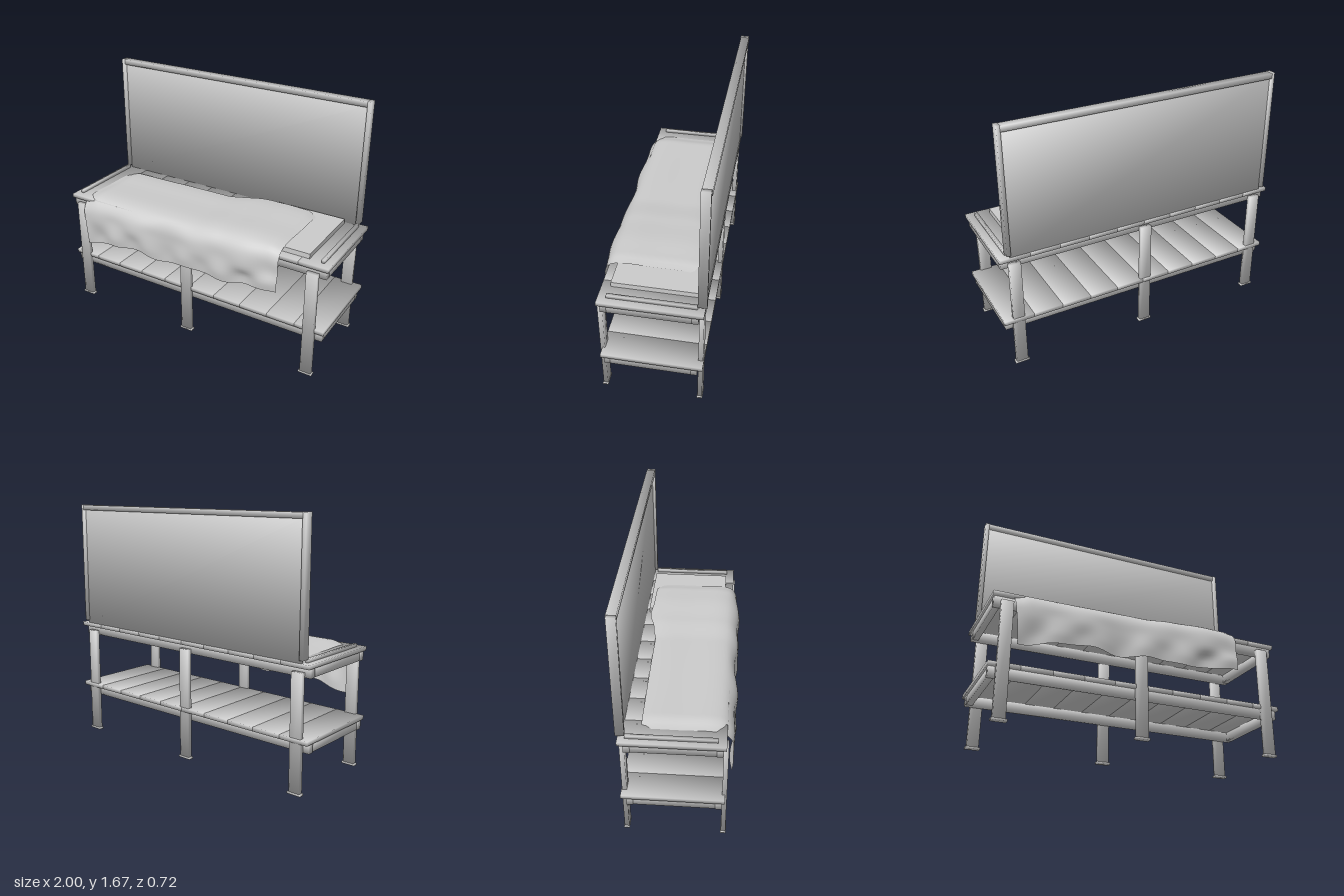
import * as THREE from 'three';
import { mergeVertices } from 'three/addons/utils/BufferGeometryUtils.js';

const grey = new THREE.MeshStandardMaterial({ color: 0xcccccc });
const clothGrey = new THREE.MeshStandardMaterial({ color: 0xcccccc, side: THREE.DoubleSide });

// Box given by its limits; soft boxes share one averaged normal per corner
function box(parent, name, [x0, x1], [y0, y1], [z0, z1], soft = true) {
  let geo = new THREE.BoxGeometry(x1 - x0, y1 - y0, z1 - z0);
  if (soft) {
    geo.deleteAttribute('uv');
    geo.deleteAttribute('normal');
    geo = mergeVertices(geo);
    const p = geo.attributes.position;
    const n = [];
    for (let i = 0; i < p.count; i++) {
      const v = new THREE.Vector3(Math.sign(p.getX(i)), Math.sign(p.getY(i)), Math.sign(p.getZ(i))).normalize();
      n.push(v.x, v.y, v.z);
    }
    geo.setAttribute('normal', new THREE.Float32BufferAttribute(n, 3));
  }
  const mesh = new THREE.Mesh(geo, grey);
  mesh.name = name;
  mesh.position.set((x0 + x1) / 2, (y0 + y1) / 2, (z0 + z1) / 2);
  parent.add(mesh);
  return mesh;
}

// Rail frame topped with crosswise slats
function shelf(name, y) {
  const g = new THREE.Group();
  g.name = name;
  const railY = [y, y + 0.06];
  box(g, 'frontRail', [-0.99, 0.985], railY, [0.235, 0.275]);
  box(g, 'backRail', [-0.99, 0.985], railY, [-0.32, -0.28]);
  for (const s of [-1, 1]) {
    box(g, 'endRail', [s * 0.965 - 0.02, s * 0.965 + 0.02], railY, [-0.28, 0.235]);
  }
  for (let i = 0; i < 10; i++) {
    const x = -1 + i * 0.2;
    box(g, 'slat', [x + 0.001, x + 0.199], [y + 0.06, y + 0.087], [-0.355, 0.293]);
  }
  return g;
}

// Smooth interpolation through [position, value] pairs
function sample(table, x) {
  for (let i = 1; i < table.length; i++) {
    const [a, va] = table[i - 1], [b, vb] = table[i];
    if (x <= b) return va + (vb - va) * THREE.MathUtils.smoothstep(x, a, b);
  }
  return table[table.length - 1][1];
}

const clothTop = [[-0.87, 0.812], [-0.77, 0.835], [0, 0.84], [0.22, 0.857], [0.45, 0.868], [0.6, 0.864], [0.68, 0.85]];
const clothBack = [[-0.87, -0.225], [-0.2, -0.23], [0, -0.23], [0.1, -0.25], [0.28, -0.292], [0.42, -0.28], [0.6, -0.28], [0.68, -0.24]];
const clothHem = [[-0.87, 0.468], [-0.62, 0.515], [-0.4, 0.537], [-0.23, 0.505], [0, 0.535], [0.15, 0.53], [0.3, 0.52], [0.45, 0.54], [0.68, 0.56]];

// Cloth lying on the top and hanging over the front edge
function cloth() {
  const nx = 64, nv = 40;
  const geo = new THREE.PlaneGeometry(1, 1, nx, nv);
  const p = geo.attributes.position;
  for (let i = 0; i <= nx; i++) {
    const x = -0.87 + 1.55 * i / nx;
    const top = sample(clothTop, x), back = sample(clothBack, x), hem = sample(clothHem, x);
    const wave = 0.5 * Math.sin(x * 15 + 1) + 0.5 * Math.sin(x * 8.3 - 0.6);
    const wave2 = Math.sin(x * 21 + 2) * 0.6 + Math.sin(x * 10) * 0.4;
    const curve = new THREE.CatmullRomCurve3([
      [top - 0.008, back],
      [top, back + 0.08],
      [top, 0],
      [top, 0.22],
      [top - 0.02, 0.285],
      [top - 0.075, 0.328 + 0.01 * wave],
      [0.68 + 0.01 * wave2, 0.337 + 0.018 * wave],
      [hem + 0.06, 0.334 + 0.022 * wave2],
      [hem, 0.328 + 0.017 * wave2],
    ].map(([y, z]) => new THREE.Vector3(0, y, z)), false, 'centripetal');
    for (let j = 0; j <= nv; j++) {
      const q = curve.getPointAt(j / nv);
      // The hanging part sits a little inside the left edge
      const hang = THREE.MathUtils.smoothstep(0.8 - q.y, 0, 0.3);
      p.setXYZ(j * (nx + 1) + i, x + hang * 0.025 * (0.68 - x) / 1.55, q.y, q.z);
    }
  }
  geo.computeVertexNormals();
  const mesh = new THREE.Mesh(geo, clothGrey);
  mesh.name = 'cloth';
  return mesh;
}

export function createModel() {
  const model = new THREE.Group();
  model.name = 'workbench';

  // Legs with small foot plates, front and back
  for (const x of [-0.91, -0.02, 0.9]) {
    for (const z of [0.29, -0.335]) {
      const leg = new THREE.Group();
      leg.name = z > 0 ? 'frontLeg' : 'backLeg';
      box(leg, 'post', [x - 0.038, x + 0.038], [0.01, 0.755], [z - 0.015, z + 0.015]);
      box(leg, 'foot', [x - 0.047, x + 0.047], [0, 0.013], [z - 0.018, z + 0.018]);
      model.add(leg);
    }
  }

  model.add(shelf('lowerShelf', 0.268), shelf('benchTop', 0.724));

  // Strips along both ends of the top
  for (const x of [-0.95, 0.94]) {
    box(model, 'endStrip', [x - 0.011, x + 0.011], [0.81, 0.832], [-0.31, 0.24]);
  }

  // Back board in a three-sided frame
  box(model, 'backBoard', [-0.94, 0.93], [0.811, 1.64], [-0.35, -0.33]);
  box(model, 'topRail', [-0.94, 0.93], [1.63, 1.665], [-0.37, -0.312]);
  for (const x of [-0.95, 0.94]) {
    box(model, 'backPost', [x - 0.013, x + 0.013], [0.832, 1.667], [-0.366, -0.31]);
  }

  // Flat pad partly covered by the cloth
  box(model, 'pad', [0.36, 0.85], [0.811, 0.844], [-0.31, 0.235], false);
  model.add(cloth());
  return model;
}
